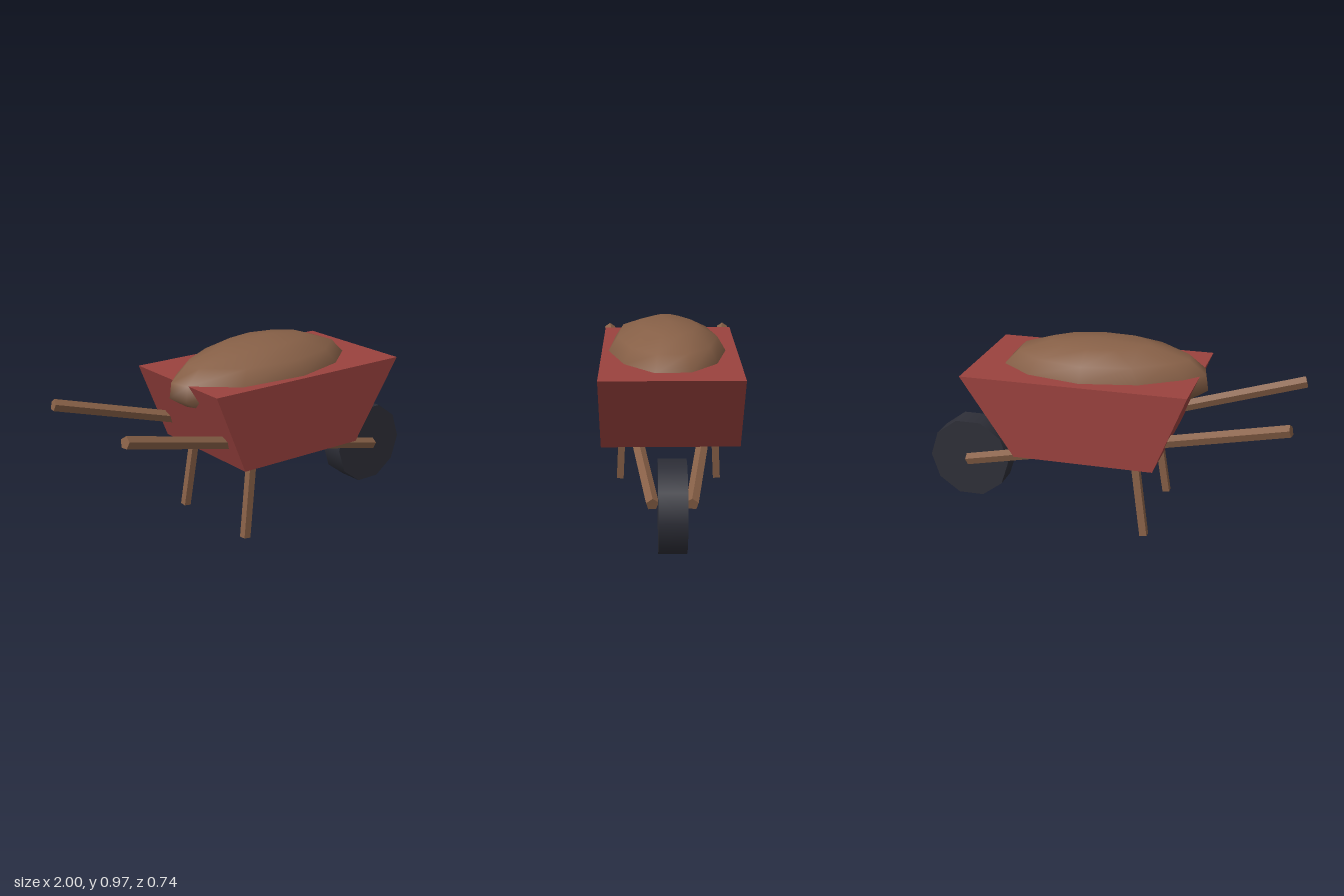
import * as THREE from 'three';

const flat = (name, color, flatShading = false) => {
  const m = new THREE.MeshStandardMaterial({ color, flatShading });
  m.name = name;
  return m;
};

// Straight bar between two points; local +z of the section is turned towards 'up'
function bar(name, from, to, geometry, material, up) {
  const y = to.clone().sub(from).normalize();
  const x = new THREE.Vector3().crossVectors(y, up).normalize();
  const z = new THREE.Vector3().crossVectors(x, y);
  const mesh = new THREE.Mesh(geometry, material);
  mesh.name = name;
  mesh.quaternion.setFromRotationMatrix(new THREE.Matrix4().makeBasis(x, y, z));
  mesh.position.copy(from).add(to).multiplyScalar(0.5);
  return mesh;
}

// Lumpy heap: one outline scaled into rings from the rim up to a peak
function heapGeometry() {
  const outline = [
    [-0.525, 0], [-0.43, -0.1], [-0.22, -0.235], [0.08, -0.295], [0.37, -0.235], [0.545, -0.1],
    [0.555, 0.08], [0.37, 0.235], [0.08, 0.32], [-0.29, 0.29], [-0.5, 0.11],
  ];
  const rings = [[0.67, 0.84], [0.73, 1], [0.81, 0.98], [0.885, 0.83], [0.943, 0.48]]; // height, scale
  const cx = 0.07, cz = 0, n = outline.length;
  const pos = [], index = [];
  for (const [y, s] of rings)
    for (const [x, z] of outline) pos.push(cx + (x - cx) * s, y, cz + (z - cz) * s);
  const peak = pos.length / 3;
  pos.push(cx, 0.965, cz, cx, 0.62, cz);
  for (let i = 0; i < n; i++) {
    const j = (i + 1) % n;
    for (let r = 0; r < rings.length - 1; r++) {
      const a = r * n + i, b = r * n + j, c = a + n, d = b + n;
      index.push(a, c, b, b, c, d);
    }
    const top = (rings.length - 1) * n;
    index.push(top + i, peak, top + j, i, j, peak + 1);
  }
  const g = new THREE.BufferGeometry();
  g.setAttribute('position', new THREE.Float32BufferAttribute(pos, 3));
  g.setIndex(index);
  g.computeVertexNormals();
  return g;
}

export function createModel() {
  const group = new THREE.Group();
  group.name = 'wheelbarrow';
  const red = flat('red paint', 0x9a423e);
  const wood = flat('brown wood', 0x876047, true);
  const soil = flat('brown soil', 0x876047);
  const rubber = flat('dark rubber', 0x2e2f38);

  // Tub: a trapezoid side profile with straight sides
  const profile = new THREE.Shape([
    [-0.318, 0.4], [0.412, 0.4], [0.69, 0.812], [-0.485, 0.812],
  ].map(([x, y]) => new THREE.Vector2(x, y)));
  const tubGeometry = new THREE.ExtrudeGeometry(profile, { depth: 0.694, bevelEnabled: false });
  tubGeometry.translate(0, 0, -0.347);
  const tub = new THREE.Mesh(tubGeometry, red);
  tub.name = 'tub';
  group.add(tub);

  // Load
  const load = new THREE.Mesh(heapGeometry(), soil);
  load.name = 'soilHeap';
  group.add(load);

  // Ten-sided wheel with a corner pointing forwards
  const wheelGeometry = new THREE.CylinderGeometry(0.224, 0.224, 0.136, 10);
  wheelGeometry.rotateY(Math.PI / 2).rotateX(Math.PI / 2);
  const wheel = new THREE.Mesh(wheelGeometry, rubber);
  wheel.name = 'wheel';
  wheel.position.set(0.773, 0.226, 0);
  group.add(wheel);

  // Five-sided handles running under the tub to the axle, and splayed legs
  const up = new THREE.Vector3(0, 1, 0);
  for (const s of [1, -1]) {
    const side = s > 0 ? 'front' : 'back';
    const rear = new THREE.Vector3(-0.99, 0.7, s * 0.34);
    const axle = new THREE.Vector3(0.77, 0.234, s * 0.094);
    const pole = new THREE.CylinderGeometry(0.032, 0.032, rear.distanceTo(axle), 5);
    group.add(bar(side + 'Handle', rear, axle, pole, wood, up));

    const hip = new THREE.Vector3(-0.2, 0.45, s * 0.247);
    const foot = new THREE.Vector3(-0.262, 0.003, s * 0.27);
    const post = new THREE.BoxGeometry(0.038, hip.distanceTo(foot), 0.038);
    group.add(bar(side + 'Leg', foot, hip, post, wood, new THREE.Vector3(0, 0, 1)));
  }
  return group;
}
